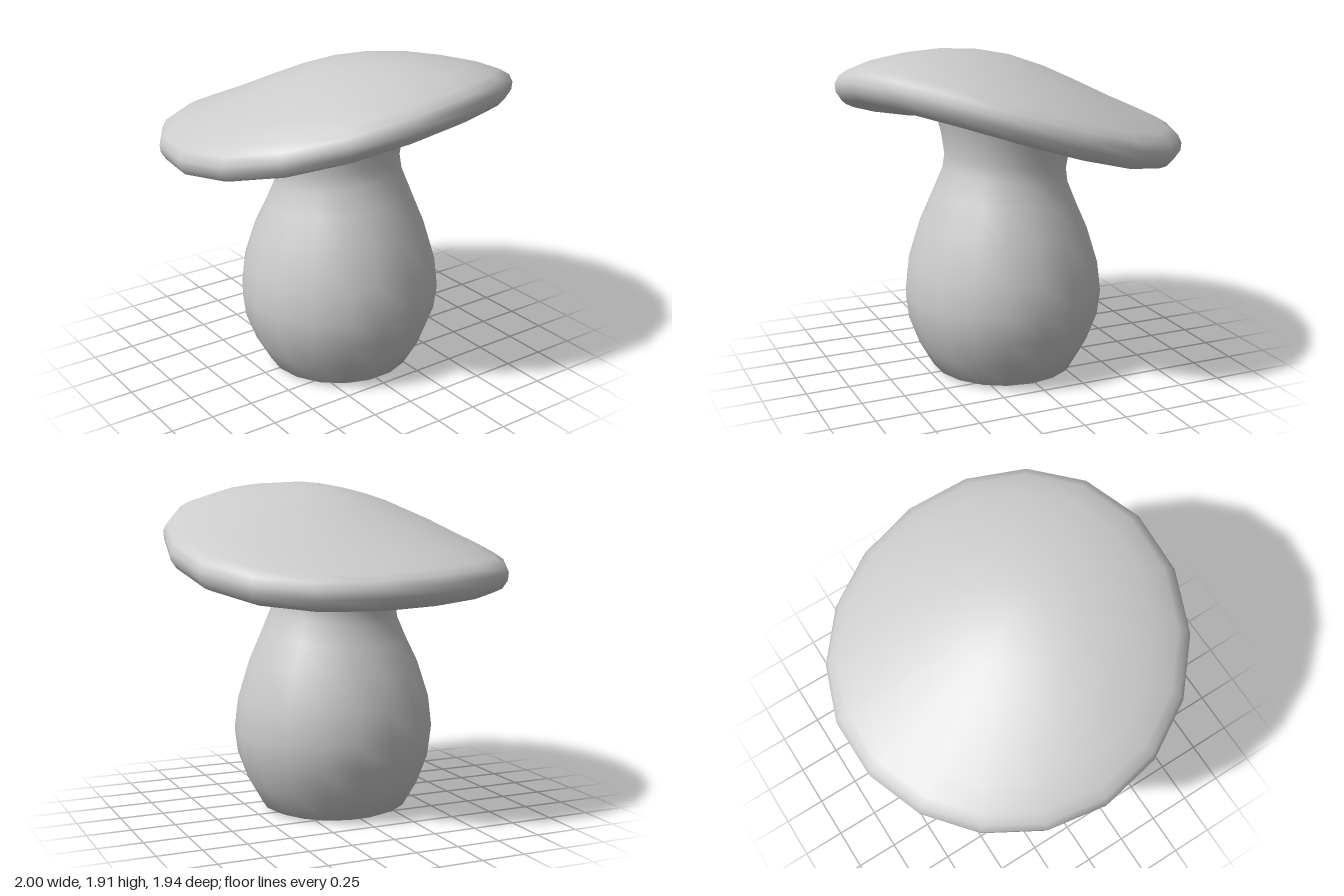
import * as THREE from 'three';
import { toCreasedNormals } from 'three/addons/utils/BufferGeometryUtils.js';

const SIDES = 18;

// Turn a [radius, height] profile, then move every vertex by a rule
function turnedPart(name, profile, rule) {
  const points = profile.map(([r, y]) => new THREE.Vector2(r, y));
  const geometry = new THREE.LatheGeometry(points, SIDES, Math.PI / 2);
  const pos = geometry.attributes.position;
  const v = new THREE.Vector3();
  for (let i = 0; i < pos.count; i++) {
    rule(v.fromBufferAttribute(pos, i));
    pos.setXYZ(i, v.x, v.y, v.z);
  }
  const mesh = new THREE.Mesh(
    toCreasedNormals(geometry, 1.1),
    new THREE.MeshStandardMaterial({ color: 0xcccccc })
  );
  mesh.name = name;
  return mesh;
}

export function createModel() {
  const group = new THREE.Group();
  group.name = 'mushroom';

  // Bulbous stem: narrow neck that flares into the cap
  const stemProfile = [
    [0, 0], [0.375, 0], [0.425, 0.022], [0.51, 0.17], [0.57, 0.33], [0.587, 0.47],
    [0.566, 0.65], [0.497, 0.87], [0.425, 1.03], [0.37, 1.16], [0.358, 1.24],
    [0.38, 1.38], [0.418, 1.51], [0.455, 1.59], [0.52, 1.65], [0, 1.67],
  ];
  group.add(turnedPart('stem', stemProfile, (v) => {
    // The upper stem leans with the cap
    const lean = THREE.MathUtils.smoothstep(v.y, 0.7, 1.3);
    v.y += lean * (0.15 * v.z + 0.06 * v.x);
    v.x += 0.005;
    v.z = v.z * 0.985 + 0.043 - 0.018 * lean;
  }));

  // Thin domed cap: hollow underside, blunt rounded rim, then the top
  const capProfile = [
    [0, 0.26], [0.45, 0.22], [0.62, 0.15], [0.78, 0.07], [0.87, 0.015], [0.92, 0],
    [0.965, 0.02], [0.995, 0.065], [1, 0.11], [0.978, 0.155], [0.925, 0.19],
    [0.8, 0.248], [0.6, 0.318], [0.4, 0.379], [0.2, 0.422], [0, 0.44],
  ];
  group.add(turnedPart('cap', capProfile, (v) => {
    // Raised and fuller at the front, with a gentle saddle-shaped warp
    const warp = 0.643 * (v.x * v.x - v.z * v.z) - 1.532 * v.x * v.z;
    const fullness = 0.1 * v.z * (1 - v.x * v.x - v.z * v.z);
    v.y += 1.415 + 0.185 * v.z + 0.049 * v.x - 0.065 * warp + fullness;
    v.z *= 0.985;
  }));

  return group;
}
